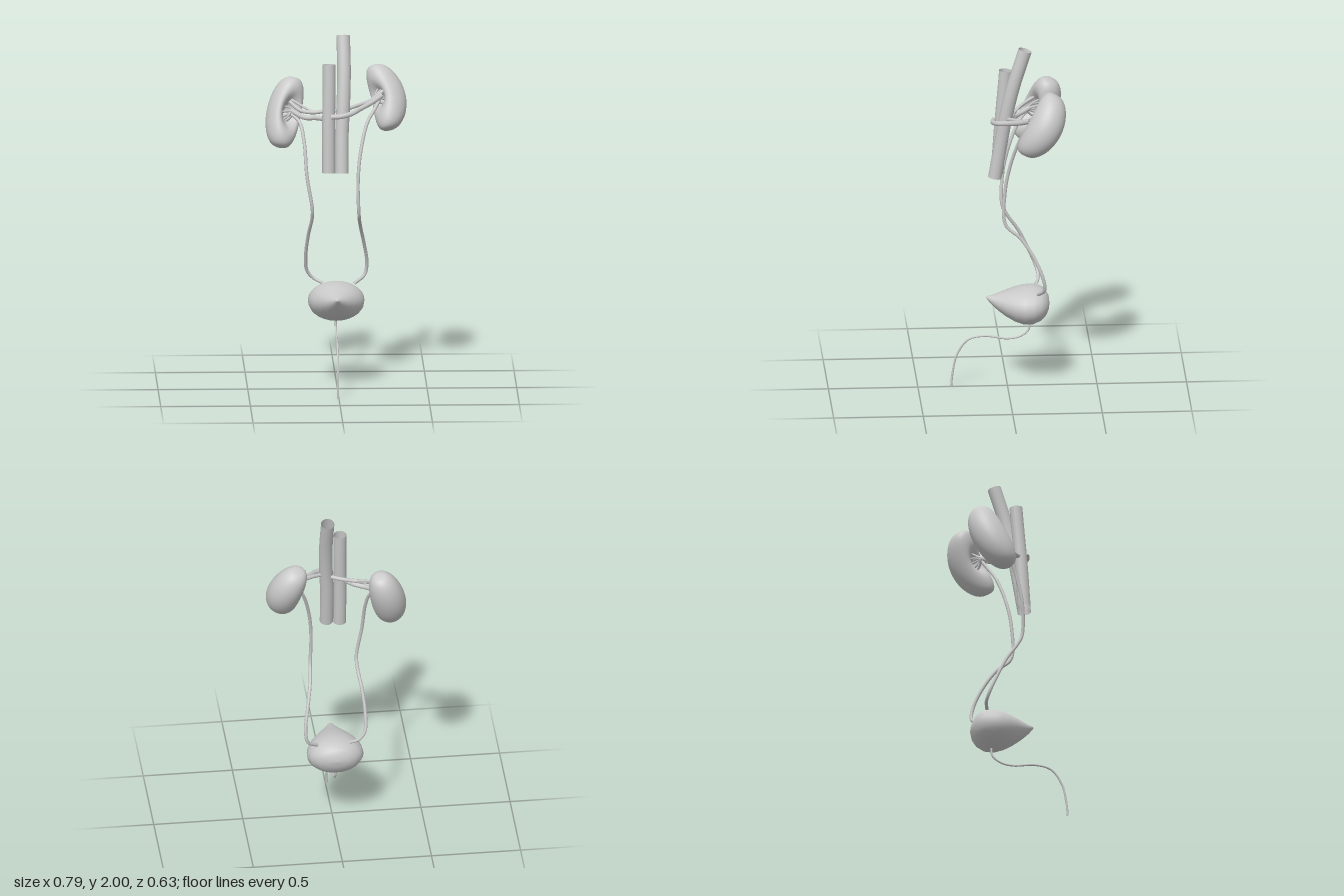
import * as THREE from 'three';

const V = (p) => new THREE.Vector3(...p);

export function createModel() {
  const model = new THREE.Group();
  const tissue = new THREE.MeshStandardMaterial({ color: 0xc8c8c8, side: THREE.DoubleSide });
  tissue.name = 'pale grey';

  const add = (name, geometry, parent = model) => {
    const mesh = new THREE.Mesh(geometry, tissue);
    mesh.name = name;
    parent.add(mesh);
  };
  const tube = (name, points, radius, sides = 10, steps = 40, parent = model) =>
    add(name, new THREE.TubeGeometry(new THREE.CatmullRomCurve3(points.map(V)), steps, radius, sides), parent);

  // Great vessels, open at both ends
  tube('aorta', [[0.035, 1.985, -0.097], [0.038, 1.79, -0.035], [0.032, 1.6, 0.01],
    [0.024, 1.45, 0.036], [0.022, 1.235, 0.072]], 0.038, 14, 24);
  tube('venaCava', [[-0.047, 1.84, 0.008], [-0.047, 1.7, 0.02], [-0.05, 1.5, 0.037],
    [-0.05, 1.235, 0.055]], 0.036, 14, 20);

  // Bean-shaped kidney: a blunt sphere stretched, bent and dented at the hilum
  function kidney(name, centre, axis, hilumDir, size, bend, dent) {
    const geo = new THREE.SphereGeometry(1, 48, 40);
    const pos = geo.attributes.position;
    for (let i = 0; i < pos.count; i++) {
      const x = pos.getX(i), y = pos.getY(i), z = pos.getZ(i);
      const full = Math.pow(Math.max(1 - y * y, 0.0001), -0.16);
      let X = size[0] * x * full + bend * (0.35 - y * y);
      if (x < 0) X -= dent.depth * x * Math.exp(-((y / dent.tall) ** 2) - (z / dent.wide) ** 2);
      pos.setXYZ(i, X, size[1] * y, size[2] * z * full);
    }
    const up = V(axis).normalize();
    const out = V(hilumDir).negate();
    out.addScaledVector(up, -out.dot(up)).normalize();
    const side = new THREE.Vector3().crossVectors(out, up);
    geo.applyMatrix4(new THREE.Matrix4().makeBasis(out, up, side).setPosition(V(centre)));
    geo.computeVertexNormals();
    add(name, geo);

    // Fine branches fanning out inside the hilum
    const branches = new THREE.Group();
    branches.name = name + 'Branches';
    model.add(branches);
    const at = (x, y, z) => V(centre).addScaledVector(out, x).addScaledVector(up, y).addScaledVector(side, z).toArray();
    for (let i = 0; i < 9; i++) {
      const s = (i - 4) / 4, w = ((i * 5) % 9 - 4) / 4;
      tube('branch', [at(-0.075, s * 0.015, w * 0.012), at(-0.05, s * 0.045, w * 0.025),
        at(0.01, s * 0.075, w * 0.03)], 0.006, 6, 10, branches);
    }
  }
  kidney('leftKidney', [0.277, 1.615, -0.183], [-0.08, 0.35, -0.19], [-0.75, 0, 0.66],
    [0.1, 0.192, 0.095], 0.045, { depth: 0.07, tall: 0.34, wide: 0.5 });
  kidney('rightKidney', [-0.287, 1.532, -0.188], [0.08, 0.36, -0.16], [0.5, 0, 0.86],
    [0.1, 0.203, 0.096], 0.025, { depth: 0.11, tall: 0.42, wide: 0.5 });

  // Renal veins and arteries
  tube('leftRenalVein', [[-0.035, 1.555, 0.075], [0.02, 1.56, 0.083], [0.08, 1.572, 0.06],
    [0.13, 1.588, 0], [0.19, 1.61, -0.055], [0.25, 1.64, -0.11]], 0.014);
  tube('leftRenalArtery', [[0.045, 1.585, 0.01], [0.11, 1.6, -0.03], [0.18, 1.615, -0.08],
    [0.26, 1.66, -0.14]], 0.011);
  tube('rightRenalVein', [[-0.06, 1.535, 0.03], [-0.12, 1.532, -0.03], [-0.18, 1.528, -0.06],
    [-0.25, 1.55, -0.14]], 0.014);
  tube('rightRenalArtery', [[0.02, 1.575, 0], [-0.05, 1.572, -0.033], [-0.13, 1.56, -0.043],
    [-0.2, 1.565, -0.07], [-0.26, 1.6, -0.15]], 0.011);
  tube('rightUpperBranch', [[-0.13, 1.56, -0.043], [-0.19, 1.585, -0.09], [-0.25, 1.61, -0.16]], 0.007);

  // Ureters from each hilum down to the bladder
  tube('rightUreter', [[-0.265, 1.54, -0.14], [-0.21, 1.5, -0.085], [-0.185, 1.4, -0.035],
    [-0.17, 1.21, 0.015], [-0.14, 1.02, 0.022], [-0.142, 0.96, -0.005], [-0.16, 0.86, -0.07],
    [-0.172, 0.74, -0.128], [-0.165, 0.64, -0.17], [-0.13, 0.595, -0.18], [-0.08, 0.57, -0.165]], 0.0095, 8, 90);
  tube('leftUreter', [[0.245, 1.63, -0.12], [0.215, 1.575, -0.09], [0.17, 1.5, -0.058],
    [0.13, 1.34, -0.008], [0.115, 1.18, 0.02], [0.12, 0.99, 0.018], [0.13, 0.91, -0.065],
    [0.152, 0.8, -0.14], [0.17, 0.68, -0.19], [0.158, 0.61, -0.198], [0.1, 0.565, -0.165]], 0.0095, 8, 90);

  // Bladder: cross-sections [z, half width, bottom, top] from back to pointed front
  const sections = [[-0.234, 0.0005, 0.487, 0.488], [-0.23, 0.06, 0.452, 0.522], [-0.214, 0.103, 0.416, 0.554],
    [-0.185, 0.14, 0.388, 0.576], [-0.14, 0.158, 0.368, 0.585], [-0.09, 0.155, 0.367, 0.582],
    [-0.04, 0.134, 0.384, 0.571], [0.01, 0.1, 0.413, 0.556], [0.055, 0.062, 0.447, 0.541],
    [0.09, 0.03, 0.48, 0.531], [0.11, 0.014, 0.504, 0.528], [0.119, 0.001, 0.518, 0.52]];
  const sides = 28, verts = [], faces = [];
  sections.forEach(([z, w, lo, hi], i) => {
    for (let j = 0; j < sides; j++) {
      const a = (j / sides) * Math.PI * 2;
      verts.push(-0.003 + w * Math.cos(a), (lo + hi) / 2 + ((hi - lo) / 2) * Math.sin(a), z);
      if (i === sections.length - 1) continue;
      const p = i * sides + j, q = i * sides + ((j + 1) % sides);
      faces.push(p, q, p + sides, q, q + sides, p + sides);
    }
  });
  const bladder = new THREE.BufferGeometry();
  bladder.setAttribute('position', new THREE.Float32BufferAttribute(verts, 3));
  bladder.setIndex(faces);
  bladder.computeVertexNormals();
  add('bladder', bladder);

  // Urethra curving forward and down
  tube('urethra', [[-0.005, 0.39, -0.122], [-0.005, 0.325, -0.118], [-0.005, 0.287, -0.07], [-0.005, 0.275, 0],
    [-0.005, 0.292, 0.13], [-0.005, 0.272, 0.22], [-0.005, 0.19, 0.28], [-0.005, 0.08, 0.306],
    [-0.005, 0, 0.314]], 0.006, 8, 70);

  return model;
}
